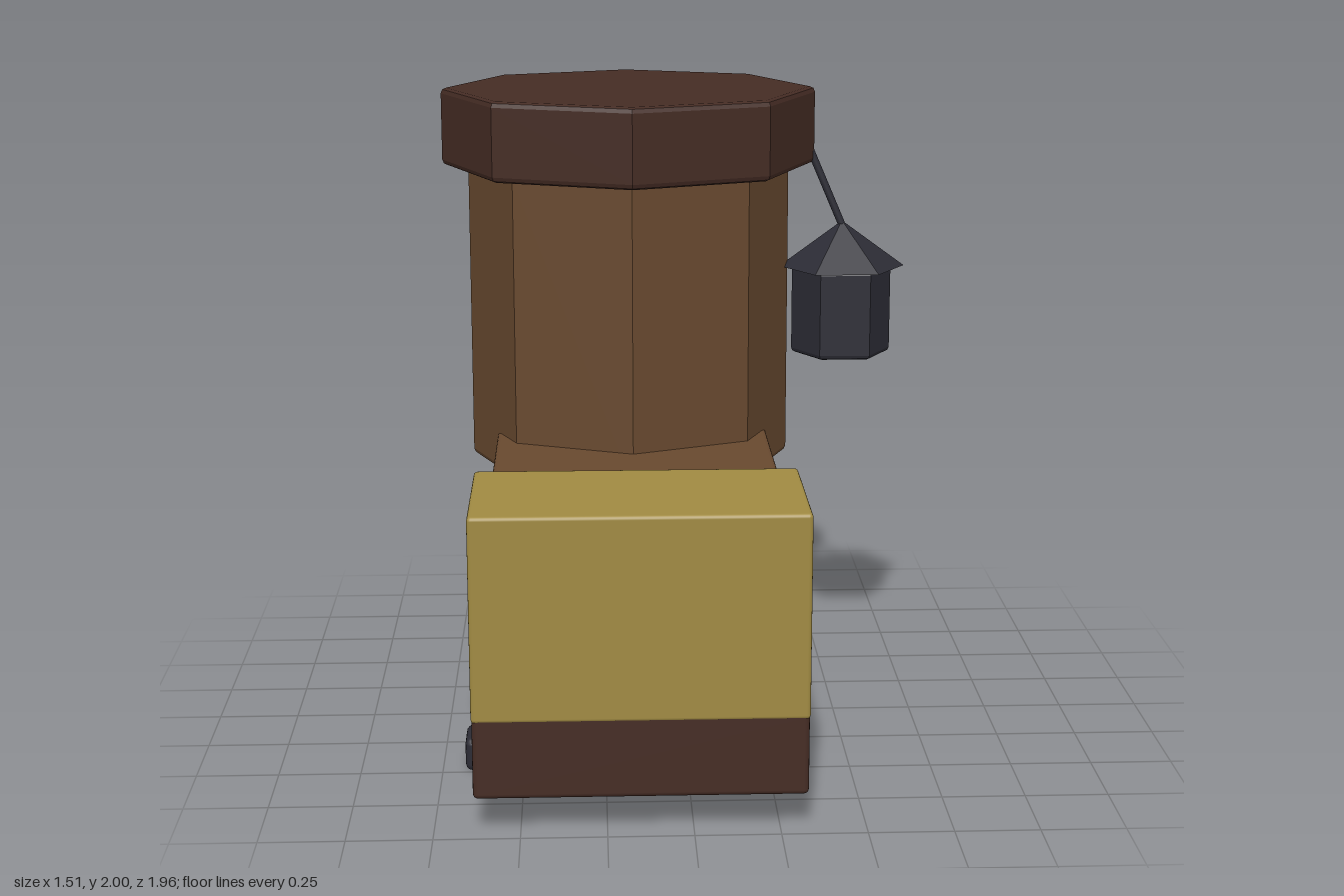
import * as THREE from 'three';
import { RoundedBoxGeometry } from 'three/addons/geometries/RoundedBoxGeometry.js';

const material = (name, color) => {
  const m = new THREE.MeshStandardMaterial({ color });
  m.name = name;
  return m;
};

export function createModel() {
  const group = new THREE.Group();
  const wood = material('brown wood', 0x68492f);
  const darkWood = material('dark wood', 0x452c24);
  const brass = material('dull brass', 0xa08a42);
  const iron = material('dark iron', 0x2c2c35);

  const add = (name, geometry, mat, parent = group) => {
    const mesh = new THREE.Mesh(geometry, mat);
    mesh.name = name;
    parent.add(mesh);
    return mesh;
  };

  // Softly bevelled box given by its [min, max] on each axis
  const box = (name, x, y, z, mat, bevel = 0.015) => {
    const size = [x, y, z].map(([a, b]) => b - a);
    const mesh = add(name, new RoundedBoxGeometry(...size, 2, bevel), mat);
    mesh.position.set(...[x, y, z].map(([a, b]) => (a + b) / 2));
    return mesh;
  };

  // Flat-sided solid turned from a profile of [radius, height] points
  const facets = (profile, sides) => {
    const points = profile.map(([r, y]) => new THREE.Vector2(r, y));
    const geometry = new THREE.LatheGeometry(points, sides).toNonIndexed();
    geometry.computeVertexNormals();
    return geometry;
  };

  // Prism with rounded top and bottom rims
  const prism = (radius, y0, y1, sides, b = 0.018) => facets([
    [0, y0], [radius - b, y0], [radius - b * 0.3, y0 + b * 0.3], [radius, y0 + b],
    [radius, y1 - b], [radius - b * 0.3, y1 - b * 0.3], [radius - b, y1], [0, y1],
  ], sides);

  // Sledge base and its three cross runners
  box('base', [-0.635, 0.33], [0.11, 0.36], [-0.705, 0.978], darkWood);
  for (const z of [0.43, -0.095, -0.58]) {
    box('runner', [-0.68, 0.37], [0, 0.107], [z - 0.072, z + 0.072], iron, 0.022);
  }

  // Long body with the front block
  box('body', [-0.588, 0.283], [0.35, 0.91], [-0.66, 0.5], wood);
  box('frontBlock', [-0.637, 0.332], [0.34, 0.95], [0.477, 0.98], brass, 0.012);

  // Octagonal tower and overhanging cap
  const tower = new THREE.Group();
  tower.name = 'tower';
  tower.position.set(-0.155, 0, -0.371);
  group.add(tower);
  add('shaft', prism(0.521, 0.782, 1.77, 8), wood, tower);
  add('cap', prism(0.605, 1.75, 2, 8), darkWood, tower);

  // Hexagonal hanging lantern, corners toward the sides
  const lantern = new THREE.Group();
  lantern.name = 'lantern';
  lantern.position.set(0.545, 0, -0.371);
  lantern.rotation.y = Math.PI / 2;
  group.add(lantern);
  add('lanternBody', prism(0.163, 1.12, 1.415, 6, 0.015), iron, lantern);
  add('lanternRoof', facets([[0, 1.41], [0.206, 1.41], [0, 1.56]], 6), iron, lantern);

  // Sloping rod that holds the lantern under the cap
  const top = new THREE.Vector3(0.435, 1.8, -0.371);
  const end = new THREE.Vector3(0.543, 1.55, -0.371);
  const rod = add('lanternRod', new THREE.CylinderGeometry(0.012, 0.012, top.distanceTo(end), 8), iron);
  rod.position.copy(top).lerp(end, 0.5);
  rod.quaternion.setFromUnitVectors(new THREE.Vector3(0, 1, 0), top.clone().sub(end).normalize());

  return group;
}
